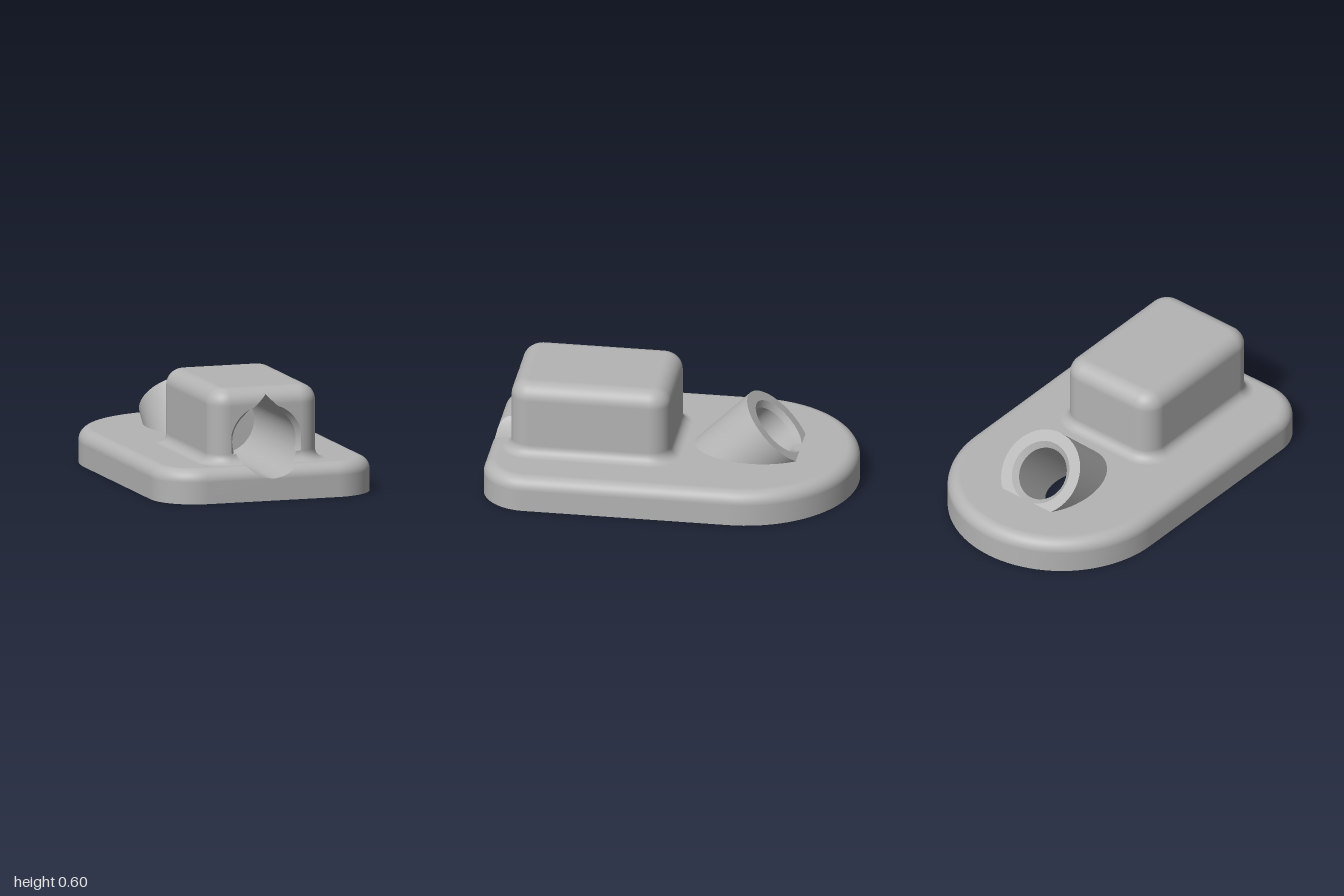
import * as THREE from 'three';
import { mergeVertices, mergeGeometries, toCreasedNormals } from 'three/addons/utils/BufferGeometryUtils.js';

const BASE = { w: 0.62, front: 1, back: -1, rf: 0.25, rb: 0.62 };
const BLOCK = { w: 0.31, front: 0.875, back: 0, rf: 0.11, rb: 0.11 };
const BASE_TOP = 0.19, BASE_FILLET = 0.07, FLARE = 0.055, BLOCK_TOP = 0.6, BLOCK_FILLET = 0.09;
const SOCKET = { y: 0.305, r: 0.182, mouth: 0.205, back: 0.125, chamfer: 0.04 };
const STEPS = 24;

// Surface through rows of [x, y, z] points
function loft(rows) {
  const n = rows[0].length, index = [];
  for (let j = 0; j < rows.length - 1; j++) {
    for (let i = 0; i < n - 1; i++) {
      const a = j * n + i, d = a + n;
      index.push(a, a + 1, d + 1, a, d + 1, d);
    }
  }
  const g = new THREE.BufferGeometry();
  g.setAttribute('position', new THREE.Float32BufferAttribute(rows.flat(2), 3));
  g.setIndex(index);
  return g;
}

function smooth(g) {
  const m = mergeVertices(g, 1e-5);
  m.computeVertexNormals();
  return m;
}

// Rounded plan outline [x, z], open at the front by a gap of half-width gap
function outline(p, inset, gap) {
  const half = [[gap, p.front - inset]];
  const arc = (cx, cz, r, from) => {
    for (let i = 0; i <= STEPS; i++) {
      const a = from - (i / STEPS) * Math.PI / 2;
      half.push([cx + r * Math.cos(a), cz + r * Math.sin(a)]);
    }
  };
  arc(p.w - p.rf, p.front - p.rf, p.rf - inset, Math.PI / 2);
  arc(p.w - p.rb, p.back + p.rb, p.rb - inset, 0);
  return [...half, ...half.map(([x, z]) => [-x, z]).reverse()];
}

// Half-width of the teardrop socket at height y
function teardrop(y) {
  const dy = y - SOCKET.y;
  if (dy > SOCKET.r * Math.SQRT1_2) return Math.max(0, SOCKET.r * Math.SQRT2 - dy);
  return Math.sqrt(Math.max(0, SOCKET.r ** 2 - dy * dy));
}

function row(y, inset, chamfered = false) {
  const hw = teardrop(y), dy = y - SOCKET.y;
  const rim = chamfered ? Math.sqrt(Math.max(0, SOCKET.mouth ** 2 - dy * dy)) : 0;
  return { y, inset, hw, mouth: Math.max(hw, rim) };
}

const shell = (plan, rows) =>
  smooth(loft(rows.map(r => outline(plan, r.inset, r.mouth).map(([x, z]) => [x, r.y, z]))));

// Horizontal flat face from [x, z] points, with an optional elliptical hole
function plate(points, y, up, holeZ) {
  const s = up ? -1 : 1;
  const shape = new THREE.Shape(points.map(([x, z]) => new THREE.Vector2(x, s * z)));
  if (holeZ !== undefined) {
    const hole = new THREE.Path();
    hole.absellipse(0, s * holeZ, 0.145, 0.145 * Math.SQRT2, 0, Math.PI * 2);
    shape.holes.push(hole);
  }
  return new THREE.ShapeGeometry(shape, 32).rotateX(s * Math.PI / 2).translate(0, y, 0);
}

// Tilted tube, with its bore running on through the base
function tubeGeometry() {
  const cy = 0.31, cz = -0.56, k = Math.SQRT1_2;
  const ring = (r, depth, endY) => Array.from({ length: 65 }, (_, i) => {
    const a = (i / 64) * Math.PI * 2;
    let y = cy - depth * k - r * Math.sin(a) * k;
    let z = cz + depth * k - r * Math.sin(a) * k;
    if (endY !== undefined) { z -= endY - y; y = endY; }
    return [r * Math.cos(a), y, z];
  });
  return toCreasedNormals(loft([
    ring(0.24, 0, 0.1), ring(0.24, 0), ring(0.175, 0), ring(0.145, 0.028), ring(0.145, 0, 0),
  ]), 0.5);
}

export function createModel() {
  const group = new THREE.Group();
  const grey = new THREE.MeshStandardMaterial({ color: 0xb4b4b4 });
  grey.name = 'grey';
  const add = (name, geometry) => {
    const mesh = new THREE.Mesh(geometry, grey);
    mesh.name = name;
    group.add(mesh);
  };

  // Height profiles: base wall and fillet, then block flare, wall and fillet
  const baseRows = [row(0, 0)], blockRows = [];
  const flareTop = BASE_TOP + FLARE, wallTop = BLOCK_TOP - BLOCK_FILLET;
  for (let i = 0; i <= STEPS; i++) {
    const t = (i / STEPS) * Math.PI / 2;
    baseRows.push(row(BASE_TOP - BASE_FILLET * (1 - Math.sin(t)), BASE_FILLET * (1 - Math.cos(t))));
    blockRows.push(row(flareTop - FLARE * Math.cos(t), -FLARE * (1 - Math.sin(t))));
  }
  for (let i = 0; i < STEPS; i++) {
    blockRows.push(row(flareTop + (wallTop - flareTop) * i / STEPS, 0, true));
  }
  for (let i = 0; i <= STEPS; i++) {
    const t = (i / STEPS) * Math.PI / 2;
    blockRows.push(row(wallTop + BLOCK_FILLET * Math.sin(t), BLOCK_FILLET * (1 - Math.cos(t)), true));
  }

  // Base plate, its top notched by the socket channel
  const notch = teardrop(BASE_TOP);
  add('baseSide', shell(BASE, baseRows));
  add('baseTop', plate([...outline(BASE, BASE_FILLET, notch),
    [-notch, SOCKET.back], [notch, SOCKET.back]], BASE_TOP, true, -0.44));
  add('baseBottom', plate(outline(BASE, 0, 0), 0, false, -0.25));

  // Block with rounded top
  add('blockSide', shell(BLOCK, blockRows));
  add('blockTop', plate(outline(BLOCK, BLOCK_FILLET, 0), BLOCK_TOP, true));

  // Teardrop socket: two walls with a chamfered mouth, and a back wall
  const socketRows = [
    ...baseRows.slice(1).map(r => ({ ...r, z: BASE.front - r.inset })),
    ...blockRows.map(r => ({ ...r, z: BLOCK.front - r.inset })),
  ];
  const left = socketRows.map(({ y, z, hw, mouth }) =>
    [[hw, y, SOCKET.back], [hw, y, z - SOCKET.chamfer], [mouth, y, z]]);
  const right = left.map(r => r.map(([x, y, z]) => [-x, y, z]).reverse());
  const back = socketRows.map(({ y, hw }) => [[-hw, y, SOCKET.back], [hw, y, SOCKET.back]]);
  add('socket', toCreasedNormals(mergeGeometries([loft(left), loft(right), loft(back)]), 0.45));

  add('tiltedTube', tubeGeometry());
  return group;
}
